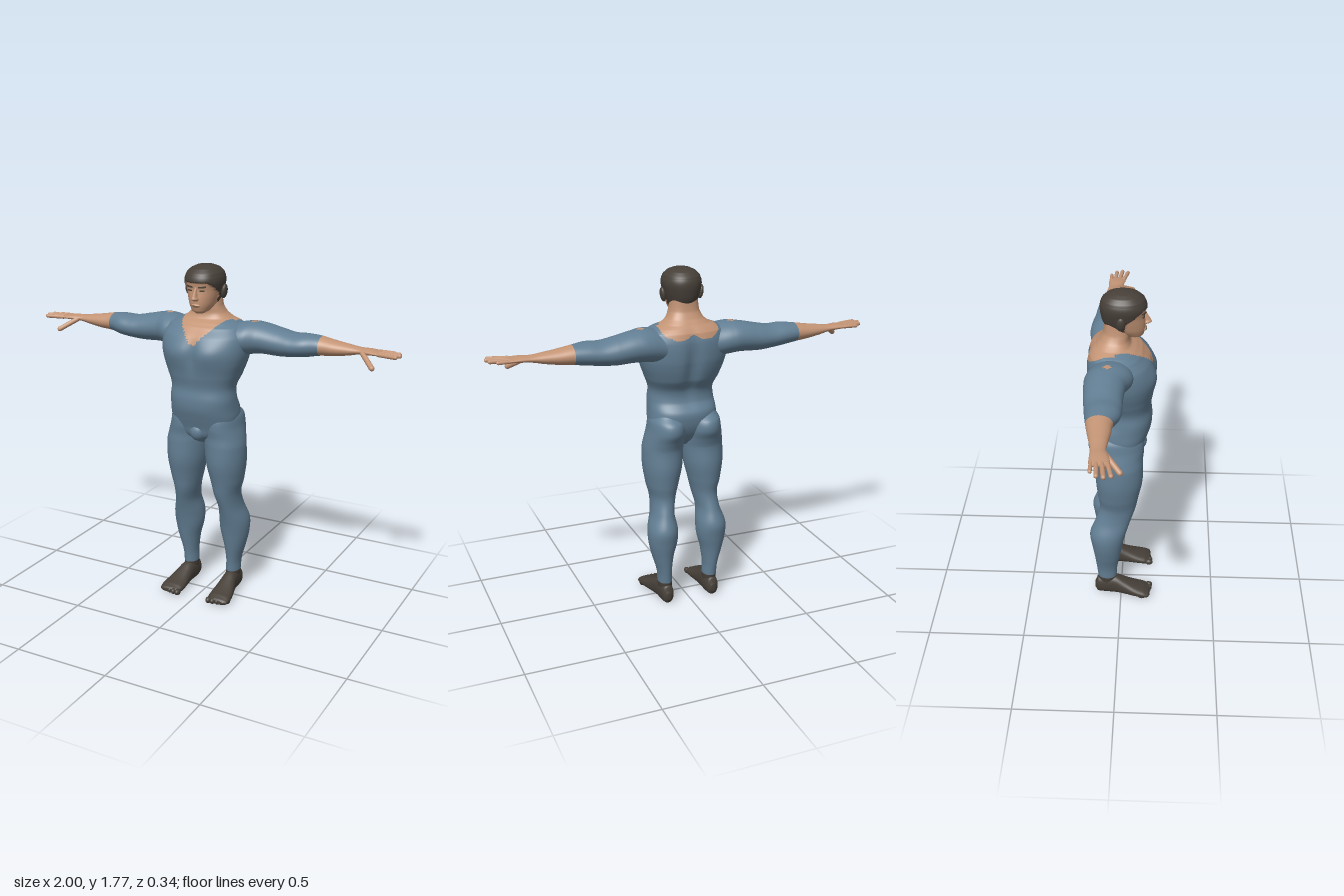
import * as THREE from 'three';

const paint = (name, color) => Object.assign(new THREE.MeshStandardMaterial({ color }), { name });

// Mappings from (along, u, v) to x, y, z; s mirrors left and right
const upY = (s) => (t, u, v) => new THREE.Vector3(s * u, t, v);
const alongX = (s) => (t, u, v) => new THREE.Vector3(s * t, u, v);
const alongZ = (s) => (t, u, v) => new THREE.Vector3(s * u, v, t);

function catmull(a, b, c, d, f) {
  return 0.5 * (2 * b + (c - a) * f + (2 * a - 5 * b + 4 * c - d) * f * f + (3 * b - a - 3 * c + d) * f * f * f);
}

// Smooth skin through cross-sections [along, uMin, uMax, vMin, vMax].
// pick(centre) gives the material index of a face, shape(point) adjusts a point.
function loft(sections, map, { sides = 40, steps = 6, power = 2, pick = () => 0, shape } = {}) {
  const pos = [], lists = [[], []], pts = [];
  const add = (p) => { if (shape) shape(p); pts.push(p); pos.push(p.x, p.y, p.z); return pts.length - 1; };
  const n = sections.length - 1, rows = n * steps;
  const at = (r) => {
    const i = Math.min(Math.floor(r / steps), n - 1), f = r / steps - i;
    const s = (k) => sections[Math.max(0, Math.min(n, k))];
    return s(i).map((_, k) => k === 0
      ? s(i)[0] + (s(i + 1)[0] - s(i)[0]) * f
      : catmull(s(i - 1)[k], s(i)[k], s(i + 1)[k], s(i + 2)[k], f));
  };
  const bend = (c) => Math.sign(c) * Math.abs(c) ** (2 / power);
  for (let r = 0; r <= rows; r++) {
    const [t, u0, u1, v0, v1] = at(r);
    for (let j = 0; j < sides; j++) {
      const a = (j / sides) * Math.PI * 2;
      add(map(t, (u0 + u1) / 2 + (u1 - u0) / 2 * bend(Math.cos(a)), (v0 + v1) / 2 + (v1 - v0) / 2 * bend(Math.sin(a))));
    }
  }
  const hand = map(0, 1, 0).dot(map(0, 0, 1).cross(map(1, 0, 0))) * (sections[n][0] - sections[0][0]) > 0;
  const face = (a, b, c) => {
    const mid = pts[a].clone().add(pts[b]).add(pts[c]).divideScalar(3);
    lists[pick(mid)].push(...(hand ? [a, b, c] : [a, c, b]));
  };
  for (let r = 0; r < rows; r++) for (let j = 0; j < sides; j++) {
    const a = r * sides + j, b = r * sides + (j + 1) % sides;
    face(a, b, a + sides);
    face(b, b + sides, a + sides);
  }
  // end caps
  for (const r of [0, rows]) {
    const [t, u0, u1, v0, v1] = at(r);
    const c = add(map(t, (u0 + u1) / 2, (v0 + v1) / 2));
    for (let j = 0; j < sides; j++) {
      const a = r * sides + j, b = r * sides + (j + 1) % sides;
      if (r) face(a, b, c); else face(b, a, c);
    }
  }
  const g = new THREE.BufferGeometry();
  g.setAttribute('position', new THREE.Float32BufferAttribute(pos, 3));
  g.setIndex([...lists[0], ...lists[1]]);
  g.addGroup(0, lists[0].length, 0);
  g.addGroup(lists[0].length, lists[1].length, 1);
  g.computeVertexNormals();
  return g;
}

export function createModel() {
  const model = new THREE.Group();
  model.name = 'figure';
  const suit = paint('blue suit', 0x627e93);
  const skin = paint('skin', 0xc39475);
  const dark = paint('dark brown', 0x474039);

  const add = (name, geometry, material) => {
    const m = new THREE.Mesh(geometry, material);
    m.name = name;
    model.add(m);
    return m;
  };
  const blob = (name, mat, p, r) => {
    const m = add(name, new THREE.SphereGeometry(1, 20, 14), mat);
    m.position.set(...p);
    m.scale.set(...r);
    return m;
  };
  const hump = (x, y, w, h) => Math.exp(-((x / w) ** 2) - (y / h) ** 2);

  // torso and neck: half width, back, front at each height
  const torso = [
    [0.86, 0.04, -0.05, 0.06], [0.9, 0.1, -0.09, 0.105], [0.95, 0.168, -0.12, 0.118], [1.0, 0.179, -0.135, 0.135],
    [1.05, 0.176, -0.135, 0.15], [1.1, 0.172, -0.103, 0.153], [1.16, 0.168, -0.103, 0.146], [1.22, 0.19, -0.14, 0.155],
    [1.3, 0.218, -0.165, 0.165], [1.36, 0.228, -0.172, 0.163], [1.42, 0.225, -0.17, 0.14], [1.465, 0.2, -0.158, 0.1],
    [1.485, 0.165, -0.143, 0.072], [1.5, 0.125, -0.128, 0.047], [1.525, 0.094, -0.108, 0.038],
    [1.56, 0.077, -0.09, 0.04], [1.62, 0.07, -0.085, 0.035],
  ].map(([y, w, b, f]) => [y, -w, w, b, f]);
  const neckline = (p) => {
    const x = Math.abs(p.x);
    if (p.y > 1.497) return 1;
    if (p.z > -0.03) {
      const w = p.y < 1.42 ? 0.04 * Math.sqrt(Math.max(0, (p.y - 1.385) / 0.035)) : 0.04 + (p.y - 1.42);
      return x < w ? 1 : 0;
    }
    return x < 0.15 && p.y > 1.435 + 6 * (x - 0.07) ** 2 ? 1 : 0;
  };
  const muscle = (p) => {
    const x = Math.abs(p.x);
    if (p.z > 0.02) p.z += 0.012 * hump(x - 0.09, p.y - 1.34, 0.07, 0.06) - 0.012 * hump(x, p.y - 1.33, 0.025, 0.08);
    else if (p.z < -0.04) p.z += 0.022 * hump(x, p.y - 1.3, 0.035, 0.14);
  };
  add('torso and neck', loft(torso, upY(1), { sides: 96, steps: 8, power: 2.35, pick: neckline, shape: muscle }), [suit, skin]);
  blob('groin', suit, [0, 0.925, 0.085], [0.045, 0.05, 0.043]);

  // head with a cap of short hair
  const head = [
    [1.533, 0.022, 0.035, 0.088], [1.545, 0.042, 0.0, 0.103], [1.575, 0.062, -0.06, 0.112], [1.61, 0.074, -0.085, 0.113],
    [1.65, 0.084, -0.096, 0.11], [1.69, 0.091, -0.1, 0.115], [1.72, 0.085, -0.093, 0.106], [1.745, 0.064, -0.069, 0.08],
    [1.757, 0.04, -0.04, 0.052], [1.762, 0.012, -0.01, 0.02],
  ].map(([y, w, b, f]) => [y, -w, w, b, f]);
  const hairy = (p) => {
    const edge = p.z < 0.015 ? 1.58 : Math.min(1.688, 1.625 + (p.z - 0.015) * 0.75);
    return p.y > edge ? 1 : 0;
  };
  const puff = (p) => {
    if (!hairy(p)) return;
    p.x *= 1.07;
    p.z = 0.008 + (p.z - 0.008) * 1.06;
    p.y += p.y > 1.72 ? 0.004 : 0;
  };
  add('head and hair', loft(head, upY(1), { sides: 72, steps: 8, power: 2.15, pick: hairy, shape: puff }), [skin, dark]);

  // face details
  add('nose', loft([
    [1.597, -0.012, 0.012, 0.09, 0.118], [1.607, -0.018, 0.018, 0.09, 0.141], [1.62, -0.012, 0.012, 0.09, 0.138],
    [1.645, -0.008, 0.008, 0.09, 0.124], [1.665, -0.008, 0.008, 0.09, 0.114],
  ], upY(1), { sides: 16, steps: 4 }), skin);
  blob('lips', skin, [0, 1.575, 0.108], [0.024, 0.01, 0.011]);
  const mouth = add('mouth line', new THREE.BoxGeometry(0.036, 0.003, 0.006), dark);
  mouth.position.set(0, 1.575, 0.116);

  const legs = [
    [1.04, 0.04, 0.165, -0.11, 0.08], [1.0, 0.012, 0.183, -0.158, 0.11], [0.95, 0.003, 0.192, -0.165, 0.115],
    [0.9, 0.003, 0.205, -0.142, 0.11], [0.85, 0.004, 0.215, -0.126, 0.112], [0.75, 0.012, 0.215, -0.13, 0.11],
    [0.65, 0.035, 0.2, -0.12, 0.09], [0.58, 0.052, 0.183, -0.112, 0.076], [0.5, 0.068, 0.188, -0.135, 0.05],
    [0.42, 0.058, 0.212, -0.164, 0.026], [0.35, 0.06, 0.212, -0.157, 0.01], [0.27, 0.08, 0.195, -0.143, -0.004],
    [0.18, 0.092, 0.17, -0.132, -0.02], [0.115, 0.09, 0.165, -0.125, -0.025], [0.05, 0.095, 0.16, -0.12, -0.03],
  ];
  const foot = [
    [-0.142, 0.115, 0.14, 0.025, 0.065], [-0.128, 0.098, 0.158, 0.004, 0.1], [-0.08, 0.09, 0.165, 0, 0.112],
    [-0.03, 0.09, 0.17, 0, 0.112], [0.03, 0.085, 0.185, 0, 0.085], [0.08, 0.08, 0.198, 0, 0.063],
    [0.125, 0.08, 0.203, 0, 0.048], [0.15, 0.09, 0.198, 0.004, 0.036], [0.158, 0.11, 0.18, 0.01, 0.028],
  ];
  const arm = [
    [0.12, 1.31, 1.475, -0.15, 0.07], [0.22, 1.325, 1.492, -0.168, 0.06], [0.28, 1.333, 1.488, -0.17, 0.03],
    [0.38, 1.33, 1.468, -0.165, 0.02], [0.45, 1.335, 1.455, -0.157, 0.02], [0.52, 1.343, 1.457, -0.15, 0.014],
    [0.59, 1.355, 1.45, -0.14, -0.015], [0.66, 1.362, 1.438, -0.128, -0.022], [0.73, 1.373, 1.428, -0.115, -0.031],
    [0.79, 1.386, 1.42, -0.106, -0.036], [0.84, 1.39, 1.42, -0.106, -0.022], [0.89, 1.395, 1.415, -0.106, -0.014],
    [0.91, 1.4, 1.41, -0.1, -0.022],
  ];
  // bare below the cuff, with a small gap on top of the shoulder
  const sleeve = (p) => {
    const x = Math.abs(p.x);
    return x > 0.59 || (p.y > 1.45 && Math.abs(x - 0.24) + Math.abs(p.z + 0.06) < 0.022) ? 1 : 0;
  };
  // base point, tip point, radius
  const fingers = [
    ['index finger', [0.89, 1.405, -0.025], [0.98, 1.406, -0.006], 0.0105],
    ['middle finger', [0.89, 1.405, -0.049], [0.99, 1.407, -0.037], 0.011],
    ['ring finger', [0.89, 1.405, -0.073], [0.98, 1.406, -0.068], 0.0105],
    ['little finger', [0.88, 1.405, -0.095], [0.948, 1.404, -0.096], 0.009],
    ['thumb', [0.81, 1.398, -0.04], [0.88, 1.35, 0.026], 0.013],
  ];

  for (const s of [1, -1]) {
    const side = s > 0 ? 'left ' : 'right ';
    add(side + 'leg', loft(legs, upY(s), { sides: 48, pick: (p) => (p.y < 0.115 ? 1 : 0) }), [suit, dark]);
    add(side + 'foot', loft(foot, alongZ(s), { sides: 32, power: 2.3 }), dark);
    for (let i = 0; i < 5; i++) {
      blob(side + 'toe', dark, [s * (0.094 + i * 0.024), 0.018, 0.15 - i * i * 0.0022], [0.015 - i * 0.001, 0.017, 0.022]);
    }
    add(side + 'arm', loft(arm, alongX(s), { sides: 56, steps: 10, pick: sleeve }), [suit, skin]);
    for (const [name, from, to, r] of fingers) {
      const a = new THREE.Vector3(s * from[0], from[1], from[2]), b = new THREE.Vector3(s * to[0], to[1], to[2]);
      const d = b.clone().sub(a);
      const f = add(side + name, new THREE.CapsuleGeometry(r, d.length(), 6, 14), skin);
      f.position.copy(a).add(b).multiplyScalar(0.5);
      f.quaternion.setFromUnitVectors(new THREE.Vector3(0, 1, 0), d.normalize());
    }
    blob(side + 'ear', dark, [s * 0.1, 1.638, -0.002], [0.014, 0.036, 0.022]).rotation.z = -s * 0.15;
    const brow = add(side + 'eyebrow', new THREE.BoxGeometry(0.038, 0.007, 0.009), dark);
    brow.position.set(s * 0.034, 1.667, 0.106);
    brow.rotation.set(0, s * 0.28, s * 0.08);
    const eye = add(side + 'eye', new THREE.BoxGeometry(0.024, 0.006, 0.006), dark);
    eye.position.set(s * 0.033, 1.648, 0.104);
    eye.rotation.y = s * 0.28;
  }
  return model;
}
